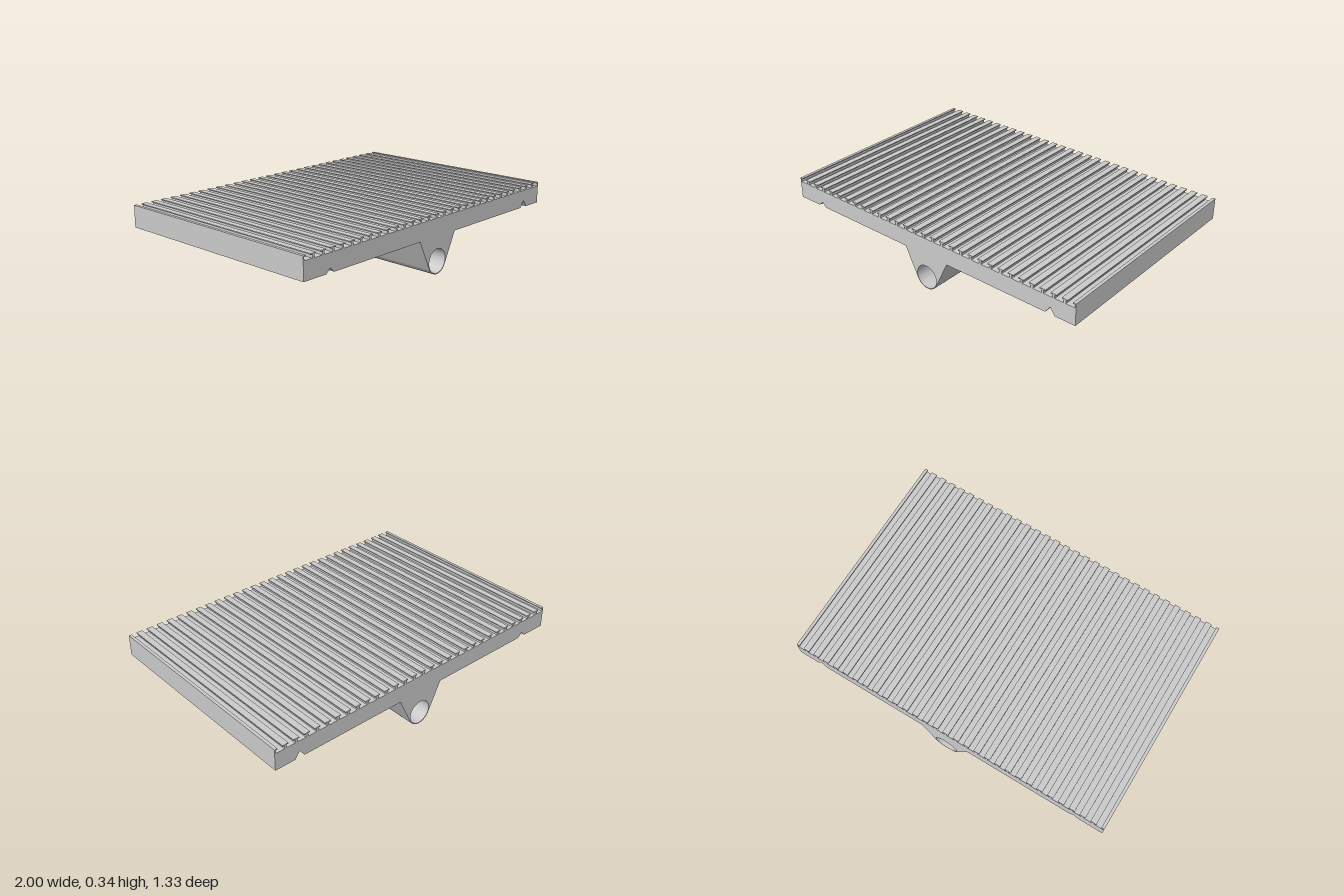
import * as THREE from 'three';
import { toCreasedNormals } from 'three/addons/utils/BufferGeometryUtils.js';

const LENGTH = 1.333;
const BOTTOM = 0.215, FLOOR = 0.318, TOP = 0.343;
const BORE = { x: 0.013, y: 0.075, outer: 0.075, hole: 0.07, inner: 0.056 };

// Extrude a cross-section along z, centred on z = 0
function extrude(name, shape, length, material) {
  const geometry = new THREE.ExtrudeGeometry(shape, {
    depth: length, bevelEnabled: false, curveSegments: 40,
  });
  geometry.translate(0, 0, -length / 2);
  const mesh = new THREE.Mesh(toCreasedNormals(geometry, 0.5), material);
  mesh.name = name;
  return mesh;
}

function circlePath(radius) {
  return new THREE.Path().absarc(BORE.x, BORE.y, radius, 0, Math.PI * 2, true);
}

// Angle on the boss circle where a line from point (x, y) touches it
function tangentAngle(x, y, side) {
  const dx = x - BORE.x, dy = y - BORE.y;
  return Math.atan2(dy, dx) + side * Math.acos(BORE.outer / Math.hypot(dx, dy));
}

function plateProfile() {
  const shape = new THREE.Shape();
  const notch = (x, half, height) => {
    shape.lineTo(x - half, BOTTOM);
    shape.lineTo(x, BOTTOM + height);
    shape.lineTo(x + half, BOTTOM);
  };

  // Underside: notch, tapered boss, notch
  shape.moveTo(-1, BOTTOM);
  notch(-0.82, 0.027, 0.027);
  shape.lineTo(-0.138, BOTTOM);
  shape.absarc(BORE.x, BORE.y, BORE.outer,
    tangentAngle(-0.138, BOTTOM, 1), tangentAngle(0.164, BOTTOM, -1) + Math.PI * 2, false);
  shape.lineTo(0.164, BOTTOM);
  notch(0.848, 0.03, 0.04);
  shape.lineTo(1, BOTTOM);
  shape.lineTo(1, TOP);

  // Undercut slots leave a row of T-shaped ribs, halved at both ends
  const count = 30, pitch = 2 / count;
  const mouth = pitch / 2 - 0.018, wide = pitch / 2 - 0.007, lip = TOP - 0.006;
  for (let i = 0; i < count; i++) {
    const x = 1 - (i + 0.5) * pitch;
    shape.lineTo(x + mouth, TOP);
    shape.lineTo(x + mouth, lip);
    shape.lineTo(x + wide, lip);
    shape.lineTo(x + wide, FLOOR);
    shape.lineTo(x - wide, FLOOR);
    shape.lineTo(x - wide, lip);
    shape.lineTo(x - mouth, lip);
    shape.lineTo(x - mouth, TOP);
  }
  shape.lineTo(-1, TOP);
  shape.holes.push(circlePath(BORE.hole));
  return shape;
}

export function createModel() {
  const group = new THREE.Group();
  group.name = 'ribbedPlate';
  const material = new THREE.MeshStandardMaterial({ color: 0xcccccc });

  group.add(extrude('plateWithBoss', plateProfile(), LENGTH, material));

  // Narrower middle stretch of the bore, set back from both ends
  const ring = new THREE.Shape();
  ring.absarc(BORE.x, BORE.y, BORE.hole, 0, Math.PI * 2, false);
  ring.holes.push(circlePath(BORE.inner));
  group.add(extrude('boreSleeve', ring, LENGTH - 0.4, material));

  return group;
}
